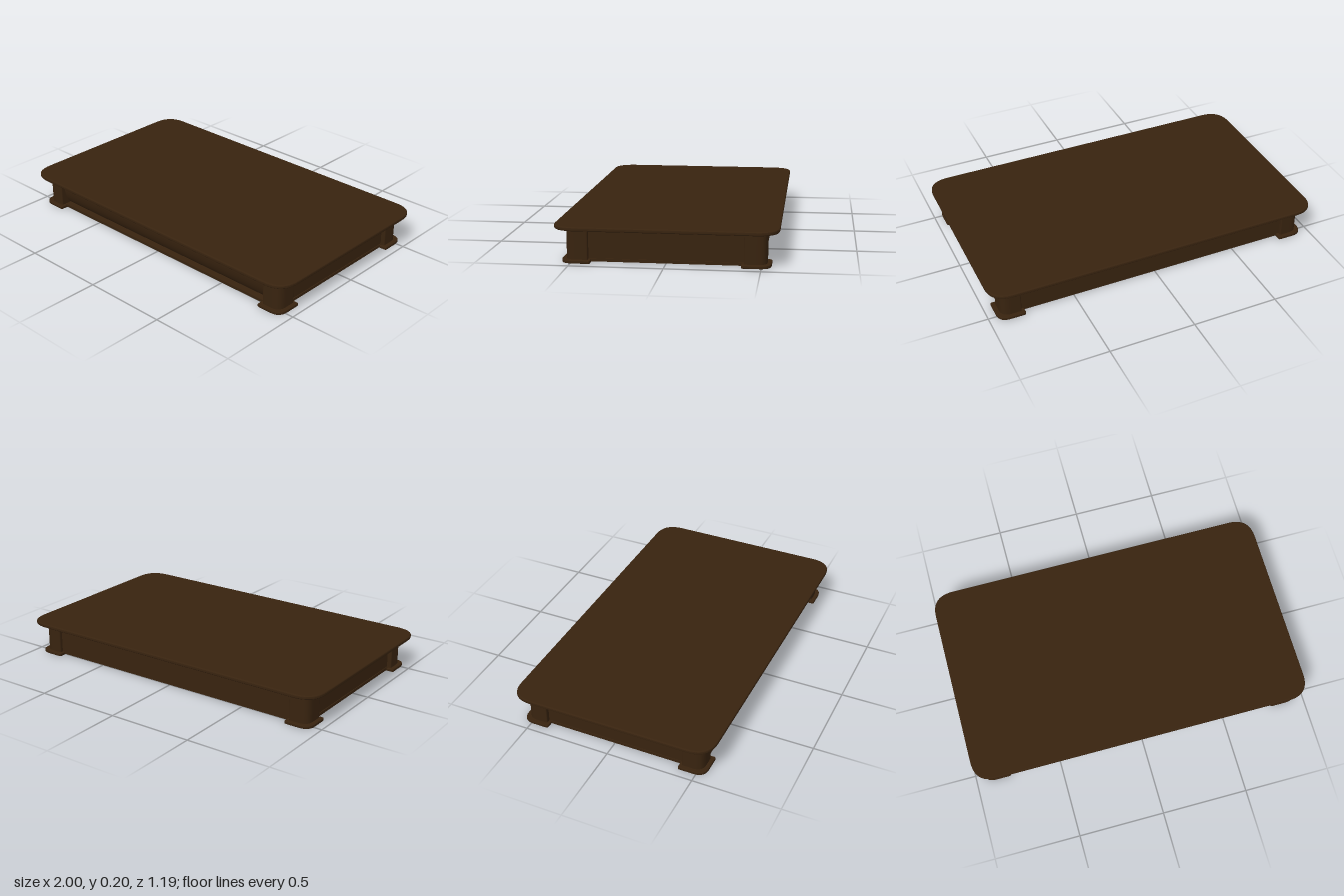
import * as THREE from 'three';

// Rounded rectangle; r gives the radius of each corner: [-x-y, +x-y, +x+y, -x+y]
function roundedRect(path, x0, y0, x1, y1, [a, b, c, d]) {
  path.moveTo(x0 + a, y0);
  path.lineTo(x1 - b, y0);
  path.quadraticCurveTo(x1, y0, x1, y0 + b);
  path.lineTo(x1, y1 - c);
  path.quadraticCurveTo(x1, y1, x1 - c, y1);
  path.lineTo(x0 + d, y1);
  path.quadraticCurveTo(x0, y1, x0, y1 - d);
  path.lineTo(x0, y0 + a);
  path.quadraticCurveTo(x0, y0, x0 + a, y0);
  return path;
}

// Extrudes a plan shape upwards from y0 to y1, with an optional rounded edge
function slab(shape, y0, y1, bevel = 0) {
  const geo = new THREE.ExtrudeGeometry(shape, {
    depth: y1 - y0 - 2 * bevel, curveSegments: 12,
    bevelEnabled: bevel > 0, bevelThickness: bevel, bevelSize: bevel,
    bevelOffset: -bevel, bevelSegments: 3,
  });
  geo.rotateX(-Math.PI / 2);
  geo.translate(0, y0 + bevel, 0);
  return geo;
}

export function createModel() {
  const group = new THREE.Group();
  const wood = new THREE.MeshStandardMaterial({ color: 0x38230f, side: THREE.DoubleSide });
  wood.name = 'dark wood';

  function add(name, geo, parent = group) {
    const mesh = new THREE.Mesh(geo, wood);
    mesh.name = name;
    parent.add(mesh);
    return mesh;
  }
  function box(name, w, h, d, x, y, z) {
    add(name, new THREE.BoxGeometry(w, h, d)).position.set(x, y, z);
  }

  // Table top with softly rounded corners
  const r = 0.13;
  const top = new THREE.Shape();
  roundedRect(top, -1, -0.593, 1, 0.593, [r, r, r, r]);
  add('tableTop', slab(top, 0.183, 0.205, 0.007));

  // Hollow corner legs, each on a flared open foot
  for (const sx of [-1, 1]) {
    for (const sz of [-1, 1]) {
      const corner = new THREE.Group();
      corner.name = (sz > 0 ? 'front' : 'back') + (sx > 0 ? 'Left' : 'Right') + 'Leg';
      group.add(corner);
      const plan = (x0, y0, x1, y1, out, inn) => {
        const radii = [[-1, -1], [1, -1], [1, 1], [-1, 1]]
          .map(([cx, cy]) => (cx === sx && cy === -sz ? out : inn));
        const xs = [x0 * sx, x1 * sx].sort((p, q) => p - q);
        const ys = [-y0 * sz, -y1 * sz].sort((p, q) => p - q);
        return [xs[0], ys[0], xs[1], ys[1], radii];
      };
      const hole = () => roundedRect(new THREE.Path(), ...plan(0.835, 0.43, 0.912, 0.512, 0.04, 0.004));
      const leg = roundedRect(new THREE.Shape(), ...plan(0.815, 0.41, 0.93, 0.53, 0.055, 0.008));
      leg.holes.push(hole());
      add('legPost', slab(leg, 0.012, 0.184), corner);
      const foot = roundedRect(new THREE.Shape(), ...plan(0.797, 0.395, 0.953, 0.552, 0.065, 0.012));
      foot.holes.push(hole());
      add('foot', slab(foot, 0, 0.017, 0.004), corner);
    }
  }

  // Front apron, curving back gently towards its lower edge
  const front = new THREE.Shape();
  front.moveTo(0.44, 0.184);
  front.lineTo(0.505, 0.184);
  front.lineTo(0.505, 0.14);
  front.quadraticCurveTo(0.504, 0.06, 0.468, 0.02);
  front.lineTo(0.44, 0.02);
  const frontGeo = new THREE.ExtrudeGeometry(front, { depth: 1.64, bevelEnabled: false, curveSegments: 12 });
  frontGeo.rotateY(-Math.PI / 2);
  frontGeo.translate(0.82, 0, 0);
  add('frontApron', frontGeo);

  // Flat back and side aprons
  box('backApron', 1.64, 0.166, 0.04, 0, 0.101, -0.49);
  for (const s of [-1, 1]) {
    box('sideApron', 0.04, 0.166, 0.83, s * 0.885, 0.101, 0);
    // Slim rails along the bottom edges
    box('sideRail', 0.06, 0.016, 0.82, s * 0.88, 0.013, 0);
    box('longRail', 1.62, 0.016, 0.06, 0, 0.013, s * 0.48);
  }
  return group;
}
